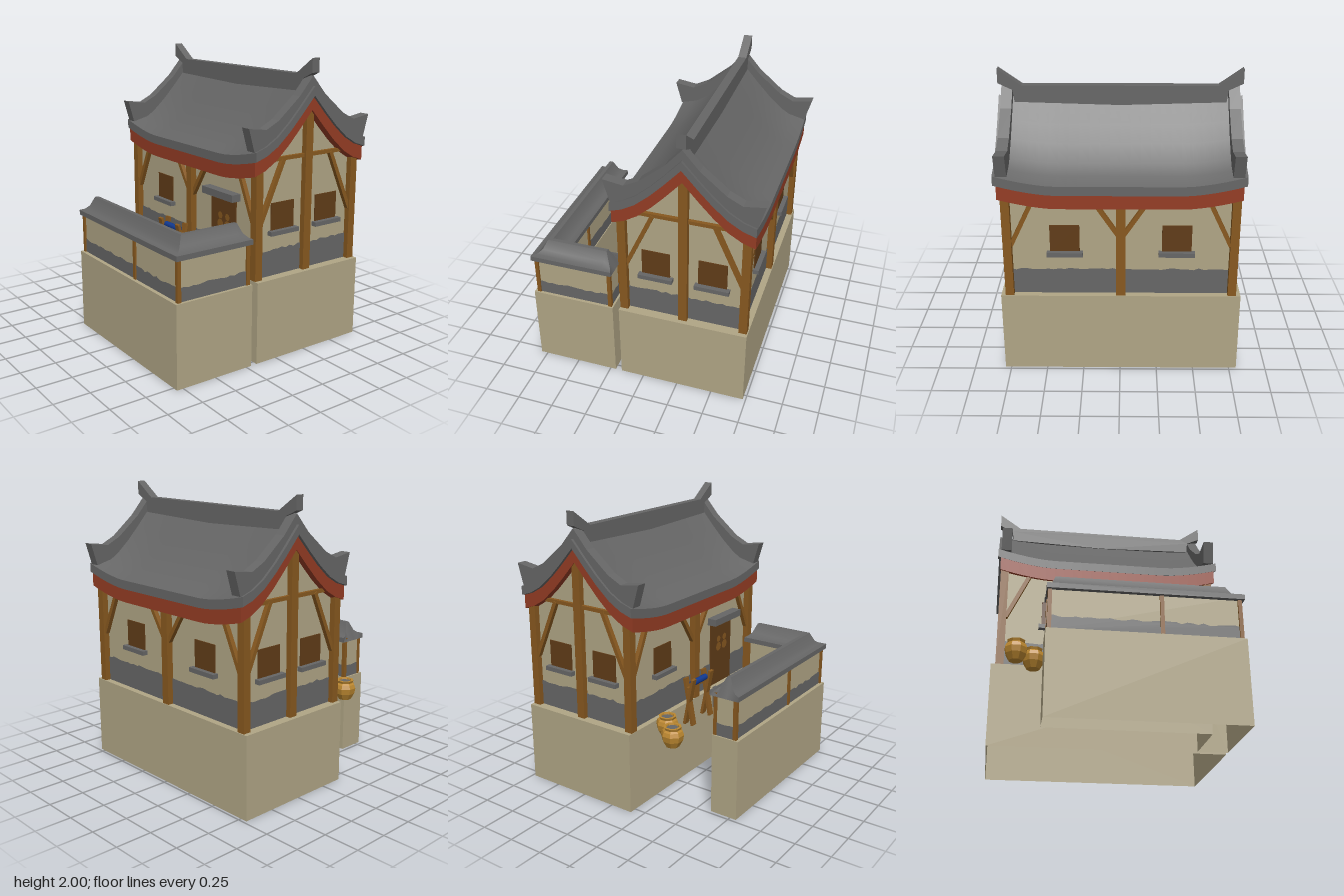
import * as THREE from 'three';
import { toCreasedNormals } from 'three/addons/utils/BufferGeometryUtils.js';

const mat = (name, color, extra = {}) => {
  const m = new THREE.MeshStandardMaterial({ color, ...extra });
  m.name = name;
  return m;
};

export function createModel() {
  const plaster = mat('plaster', 0xb0a585, { side: THREE.DoubleSide });
  const slate = mat('slate', 0x666666, { side: THREE.DoubleSide });
  const red = mat('red trim', 0x943c24);
  const wood = mat('wood', 0x87581f);
  const darkWood = mat('dark wood', 0x603c18);
  const clay = mat('clay', 0xbb8730, { flatShading: true, side: THREE.DoubleSide });
  const blue = mat('blue cloth', 0x123a92);

  const root = new THREE.Group();
  root.name = 'house';
  const CX = -0.005, CZ = -0.28;

  const add = (parent, name, geo, material) => {
    const m = new THREE.Mesh(geo, material);
    m.name = name;
    parent.add(m);
    return m;
  };
  const box = (parent, name, material, x0, x1, y0, y1, z0, z1) => {
    const m = add(parent, name, new THREE.BoxGeometry(x1 - x0, y1 - y0, z1 - z0), material);
    m.position.set((x0 + x1) / 2, (y0 + y1) / 2, (z0 + z1) / 2);
    return m;
  };
  const shapeOf = pts => new THREE.Shape(pts.map(p => new THREE.Vector2(...p)));
  // extrude a (z, y) outline along x
  const prismX = (name, material, pts, x0, x1) => {
    const g = new THREE.ExtrudeGeometry(shapeOf(pts), { depth: x1 - x0, bevelEnabled: false });
    g.rotateY(-Math.PI / 2).translate(x1, 0, CZ);
    return add(root, name, g, material);
  };
  // a full symmetric outline from one half: upper line, then lower line
  const mirrored = (upper, lower) => {
    const flip = l => l.slice(1).reverse().map(([d, y]) => [-d, y]);
    return [...flip(upper), ...upper, ...[...flip(lower), ...lower].reverse()];
  };
  // skin over rings whose first half is the top line and second half the bottom line, reversed
  const sweep = rings => {
    const n = rings[0].length, h = n / 2, idx = [], last = (rings.length - 1) * n;
    for (let r = 0; r < rings.length - 1; r++) for (let i = 0; i < n; i++) {
      const a = r * n + i, b = r * n + (i + 1) % n;
      idx.push(a, b, b + n, a, b + n, a + n);
    }
    for (let i = 0; i < h - 1; i++) {
      const t = i, u = i + 1, b = n - 1 - i, c = n - 2 - i;
      idx.push(b, c, u, b, u, t);
      idx.push(last + b, last + u, last + c, last + b, last + t, last + u);
    }
    const g = new THREE.BufferGeometry();
    g.setAttribute('position', new THREE.Float32BufferAttribute(rings.flat(2), 3));
    g.setIndex(idx);
    return toCreasedNormals(g, 0.5);
  };

  // foundations: open-bottomed walls with a top
  const foundation = (name, pts, y) => {
    const v = [];
    pts.forEach(([x, z], i) => {
      const [p, q] = pts[(i + 1) % pts.length];
      v.push(x, 0, z, p, 0, q, p, y, q, x, 0, z, p, y, q, x, y, z);
    });
    const g = new THREE.BufferGeometry();
    g.setAttribute('position', new THREE.Float32BufferAttribute(v, 3));
    g.computeVertexNormals();
    add(root, name, g, plaster);
    const top = new THREE.ShapeGeometry(shapeOf(pts.map(([x, z]) => [x, -z])));
    add(root, name + 'Top', top.rotateX(-Math.PI / 2).translate(0, y, 0), plaster);
  };
  const Y0 = 0.57;
  foundation('houseFoundation', [[-0.8, 0.165], [0.79, 0.165], [0.79, -0.73], [-0.8, -0.73]], Y0);
  foundation('fenceFoundation',
    [[-0.475, 0.797], [0.79, 0.797], [0.79, 0.21], [0.585, 0.21], [0.585, 0.6], [-0.475, 0.6]], Y0);

  // main roof: concave slope, lifted towards the gables
  const slope = [[0, 1.79], [0.11, 1.66], [0.2, 1.56], [0.3, 1.465], [0.39, 1.405], [0.475, 1.37]];
  const full = [...slope.slice(1).reverse().map(([d, y]) => [-d, y]), ...slope];
  const lift = (x, d) => (0.03 + 0.085 * Math.abs(d)) * Math.pow(Math.max(0, (Math.abs(x) - 0.4) / 0.4), 1.6);
  const roofLayer = (name, material, half, drop0, drop1, k) => {
    const rings = [];
    for (let i = 0; i <= 24; i++) {
      const x = -half + 2 * half * i / 24;
      const line = drop => full.map(([d, y]) => [x, y - drop + lift(x, d), CZ + d * k]);
      rings.push([...line(drop0), ...line(drop1).reverse()]);
    }
    add(root, name, sweep(rings), material);
  };
  roofLayer('roofTiles', slate, 0.795, 0, 0.062, 1);
  roofLayer('roofTrim', red, 0.775, 0.06, 0.155, 0.99);

  const rakeTop = [[0, 1.885], [0.11, 1.76], [0.28, 1.62], [0.38, 1.57], [0.52, 1.59]];
  const rakeLow = [[0, 1.78], [0.11, 1.66], [0.3, 1.48], [0.475, 1.435]];
  for (const s of [-1, 1])
    prismX('gableRidge', slate, mirrored(rakeTop, rakeLow), s * 0.738 - 0.036, s * 0.738 + 0.036);
  const ridge = mirrored([[0, 1.89], [0.64, 1.89], [0.795, 2]], [[0, 1.76], [0.69, 1.78], [0.7, 1.86], [0.795, 1.905]]);
  add(root, 'mainRidge', new THREE.ExtrudeGeometry(shapeOf(ridge), { depth: 0.06, bevelEnabled: false })
    .translate(0, 0, CZ - 0.03), slate);

  // house walls
  const HX = 0.725, HZ = 0.4;
  const wallTop = slope.map(([d, y]) => [Math.min(d, HZ), y - 0.08 + Math.max(0, d - HZ) * 0.4]);
  prismX('houseWalls', plaster, mirrored(wallTop, [[0, Y0], [HZ, Y0]]), CX - HX, CX + HX);

  // ragged stone skirting plate
  let seed = 7;
  const rnd = () => (seed = (seed * 16807) % 2147483647) / 2147483647;
  const skirting = (parent, w, y0, y1, z, x = 0) => {
    const pts = [[-w / 2, y0], [w / 2, y0]], n = Math.max(3, Math.round(w / 0.035));
    for (let i = n; i >= 0; i--) pts.push([-w / 2 + w * i / n, y1 + (rnd() - 0.5) * 0.016]);
    add(parent, 'skirting', new THREE.ShapeGeometry(shapeOf(pts)), slate).position.set(x, 0, z);
  };
  const brace = (parent, x0, y0, x1, y1, z) => {
    const m = add(parent, 'brace', new THREE.BoxGeometry(Math.hypot(x1 - x0, y1 - y0), 0.028, 0.03), wood);
    m.position.set((x0 + x1) / 2, (y0 + y1) / 2, z);
    m.rotation.z = Math.atan2(y1 - y0, x1 - x0);
  };
  const windowAt = (parent, x, z) => {
    box(parent, 'window', darkWood, x - 0.097, x + 0.097, 0.88, 1.07, z - 0.01, z + 0.007);
    box(parent, 'windowSill', slate, x - 0.118, x + 0.118, 0.855, 0.885, z - 0.01, z + 0.04);
  };
  const side = (name, yaw) => {
    const g = new THREE.Group();
    g.name = name;
    g.position.set(CX, 0, CZ);
    g.rotation.y = yaw;
    root.add(g);
    return g;
  };
  const front = side('frontSide', 0), back = side('backSide', Math.PI);
  for (const g of [front, back]) {
    skirting(g, 2 * HX, Y0, 0.75, HZ + 0.005);
    box(g, 'middlePost', wood, -0.03, 0.03, Y0, 1.3, HZ - 0.02, HZ + 0.045);
    for (const s of [-1, 1]) {
      brace(g, s * 0.715, 0.93, s * 0.555, 1.27, HZ + 0.015);
      brace(g, s * 0.02, 1.01, s * 0.19, 1.27, HZ + 0.015);
      windowAt(g, s < 0 || g === back ? s * 0.365 : -0.365, HZ);
    }
  }
  for (const s of [-1, 1]) {
    const g = side(s > 0 ? 'leftGable' : 'rightGable', s * Math.PI / 2);
    skirting(g, 2 * HZ, Y0, 0.75, HX + 0.005);
    box(g, 'gablePost', wood, -0.03, 0.03, Y0, 1.7, HX - 0.02, HX + 0.04);
    box(g, 'gableBeam', wood, -0.3, 0.3, 1.35, 1.375, HX - 0.02, HX + 0.025);
    for (const t of [-1, 1]) {
      brace(g, t * 0.395, 0.94, t * 0.205, 1.36, HX + 0.015);
      windowAt(g, t * 0.193, HX);
      box(root, 'cornerPost', wood, CX + s * 0.737 - 0.028, CX + s * 0.737 + 0.028, Y0, 1.35,
        CZ + t * 0.415 - 0.028, CZ + t * 0.415 + 0.028);
    }
  }

  // door, canopy and step
  box(root, 'door', darkWood, 0.225, 0.5, Y0, 1.07, 0.11, 0.129);
  for (const x of [0.33, 0.41]) for (const [y, r] of [[0.92, 0.025], [0.86, 0.034]])
    add(root, 'doorOrnament', new THREE.CircleGeometry(r, 10), wood).position.set(x, y, 0.131);
  box(root, 'doorCanopy', slate, 0.195, 0.54, 1.06, 1.11, 0.11, 0.19);
  box(root, 'doorStep', plaster, 0.24, 0.48, 0.42, 0.56, 0.167, 0.25);
  for (const x of [0.2, 0.48]) box(root, 'stepCheek', slate, x, x + 0.04, 0.42, 0.58, 0.167, 0.26);

  // L-shaped fence
  box(root, 'fenceWall', plaster, -0.46, 0.765, Y0, 0.87, 0.61, 0.765);
  box(root, 'fenceWall', plaster, 0.61, 0.765, Y0, 0.87, 0.228, 0.61);
  const fenceSide = (x, z, yaw, w) => {
    const g = new THREE.Group();
    g.name = 'fenceSkirting';
    g.position.set(x, 0, z);
    g.rotation.y = yaw;
    root.add(g);
    skirting(g, w, Y0, 0.662, 0.004);
  };
  const Q = Math.PI / 2;
  fenceSide(0.1525, 0.765, 0, 1.225);
  fenceSide(0.765, 0.4965, Q, 0.537);
  fenceSide(0.075, 0.61, Math.PI, 1.07);
  fenceSide(0.61, 0.419, -Q, 0.382);
  fenceSide(-0.46, 0.6875, -Q, 0.155);
  fenceSide(0.6875, 0.228, Math.PI, 0.155);
  for (const [x, z] of [[-0.453, 0.765], [-0.453, 0.615], [0.257, 0.765], [0.257, 0.612],
    [0.765, 0.765], [0.765, 0.234], [0.615, 0.234], [0.612, 0.612]])
    box(root, 'fencePost', wood, x - 0.013, x + 0.013, Y0, 0.87, z - 0.013, z + 0.013);

  // fence roof: flared cap, mitred at the corner, hipped at the ends
  const cap = [[-0.11, 0.88, 0], [-0.075, 0.887, 0.015], [-0.045, 0.91, 0.035], [-0.014, 0.975, 0.06],
    [0.014, 0.975, 0.06], [0.045, 0.91, 0.035], [0.075, 0.887, 0.015], [0.11, 0.88, 0]];
  const capRing = f => [...cap.map(([o, y, i]) => f(o, y, i)),
    ...cap.map(([o]) => f(o, 0.845, 0)).reverse()];
  const C = 0.685;
  add(root, 'fenceRoof', sweep([
    capRing((o, y, i) => [-0.475 + i, y, C + o]),
    capRing((o, y, i) => [-0.4 + i * 0.1, y, C + o]),
    capRing((o, y) => [C + o, y, C + o]),
    capRing((o, y, i) => [C + o, y, 0.285 - i * 0.1]),
    capRing((o, y, i) => [C + o, y, 0.21 + i]),
  ]), slate);

  // clay pots
  const potProfile = [[0.001, 0.5], [0.045, 0.5], [0.07, 0.545], [0.078, 0.585], [0.068, 0.612],
    [0.055, 0.622], [0.062, 0.64], [0.045, 0.64], [0.04, 0.615]].map(p => new THREE.Vector2(...p));
  for (const [x, z] of [[-0.52, 0.272], [-0.64, 0.4]]) {
    add(root, 'pot', new THREE.LatheGeometry(potProfile, 8, Math.PI / 8), clay).position.set(x, 0, z);
    add(root, 'potContents', new THREE.CylinderGeometry(0.042, 0.042, 0.01, 8), slate).position.set(x, 0.625, z);
  }

  // cloth roll on a crossed rack
  for (const x of [-0.21, 0.01]) for (const s of [-1, 1]) {
    const m = box(root, 'rackLeg', wood, x - 0.022, x + 0.022, 0.45, 0.8, 0.23, 0.25);
    m.rotation.x = s * 0.19;
  }
  const roll = add(root, 'clothRoll', new THREE.CylinderGeometry(0.022, 0.022, 0.18, 8), blue);
  roll.rotation.z = Q;
  roll.position.set(-0.1, 0.75, 0.24);
  box(root, 'rackBar', wood, -0.235, 0.035, 0.72, 0.735, 0.23, 0.25);

  return root;
}
